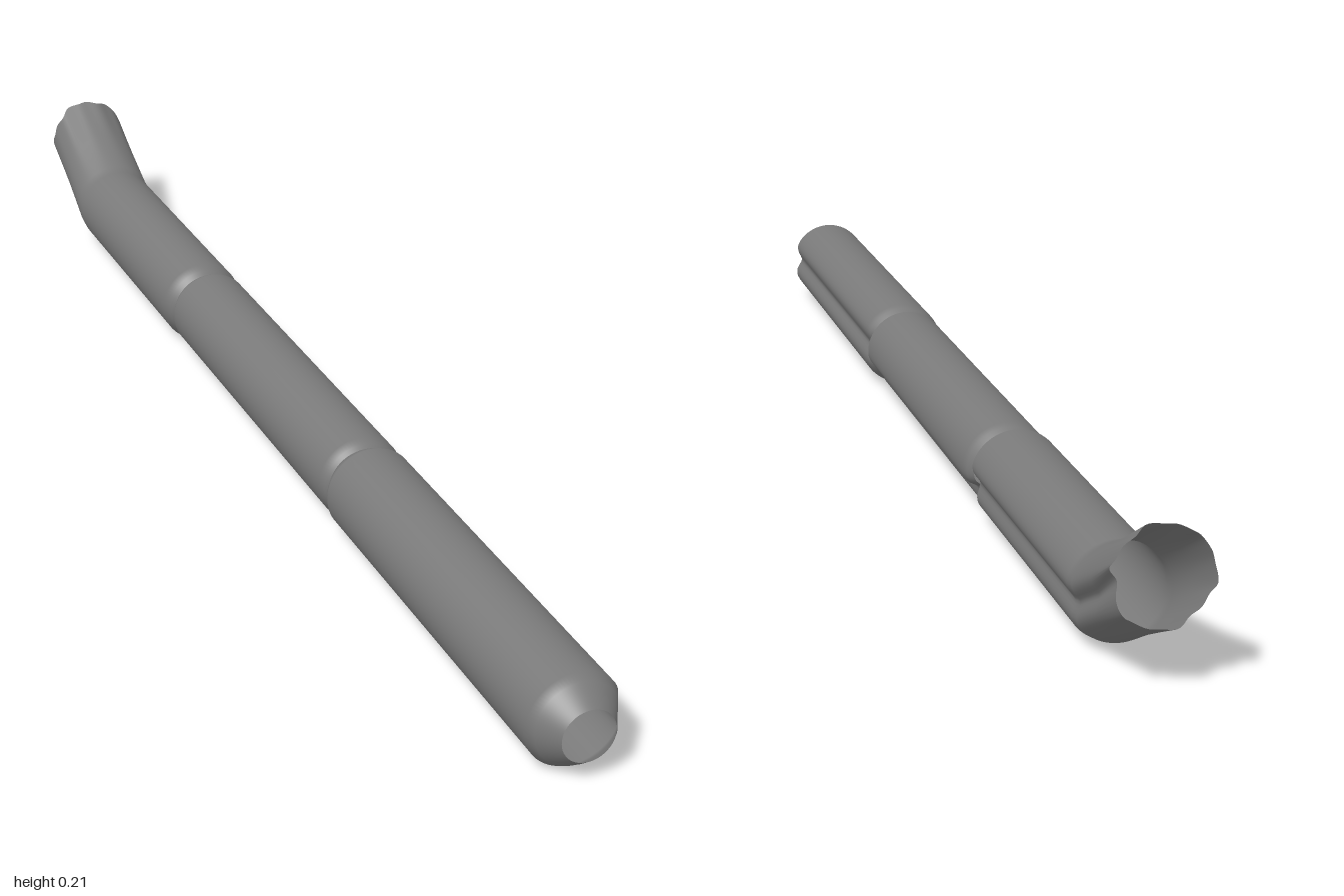
import * as THREE from 'three';

const SIDES = 80;
const material = new THREE.MeshStandardMaterial({ color: 0x7a7a7a, side: THREE.DoubleSide });

// Open tube along -z. Each ring is { z, r, y (axis height), groove (0..1), ragged (edge wobble) }.
function tubeSection(name, rings, cx, grooveAngle, grooveDepth) {
  const positions = [];
  const index = [];
  rings.forEach(({ z, r, y = 0.067, groove = 1, ragged = 0 }, row) => {
    for (let i = 0; i < SIDES; i++) {
      const a = i / SIDES * Math.PI * 2;
      const d = Math.atan2(Math.sin(a - grooveAngle), Math.cos(a - grooveAngle));
      const dent = Math.exp(-((d / 0.27) ** 2));
      const radius = r - grooveDepth * groove * dent;
      const wobble = ragged * (0.6 * Math.sin(5 * a + 1) + 0.4 * Math.sin(11 * a) + 1 + 2.2 * dent);
      positions.push(cx + Math.cos(a) * radius, y + Math.sin(a) * radius, z + wobble);
      if (row) {
        const next = (i + 1) % SIDES;
        const q = row * SIDES;
        const p = q - SIDES;
        index.push(p + i, q + i, q + next, p + i, q + next, p + next);
      }
    }
  });
  const geometry = new THREE.BufferGeometry();
  geometry.setAttribute('position', new THREE.Float32BufferAttribute(positions, 3));
  geometry.setIndex(index);
  geometry.computeVertexNormals();
  const mesh = new THREE.Mesh(geometry, material);
  mesh.name = name;
  return mesh;
}

// Rounded nose: rings from the narrow mouth to the full radius
function nose(z, R) {
  return [
    { z, r: 0.037, groove: 0 },
    { z: z - 0.012, r: 0.047, groove: 0.2 },
    { z: z - 0.028, r: 0.059, groove: 0.7 },
    { z: z - 0.04, r: R },
  ];
}

// Rear end drawn in slightly to meet the next nose
function waist(z, R) {
  return [{ z: z + 0.022, r: R }, { z: z + 0.012, r: R - 0.004 }, { z, r: R - 0.011 }];
}

export function createModel() {
  const group = new THREE.Group();
  group.name = 'jointedTube';
  const R = 0.0665;
  const midR = 0.0645;

  // Front section, open nose
  group.add(tubeSection('frontSection', [...nose(1, R), ...waist(0.32, R)], 0.001, 0.05, 0.015));

  // Middle section, its nose tucked into the front section
  group.add(tubeSection('middleSection', [...nose(0.34, midR), ...waist(-0.347, midR)], 0.002, -0.6, 0.015));

  // Back section, bent upward to a ragged open end
  group.add(tubeSection('bentBackSection', [
    ...nose(-0.327, R),
    { z: -0.82, r: R },
    { z: -0.84, r: R, y: 0.072 },
    { z: -0.91, r: 0.065, y: 0.107 },
    { z: -1, r: 0.065, y: 0.148, ragged: 0.009 },
  ], 0, -0.15, 0.015));

  return group;
}
